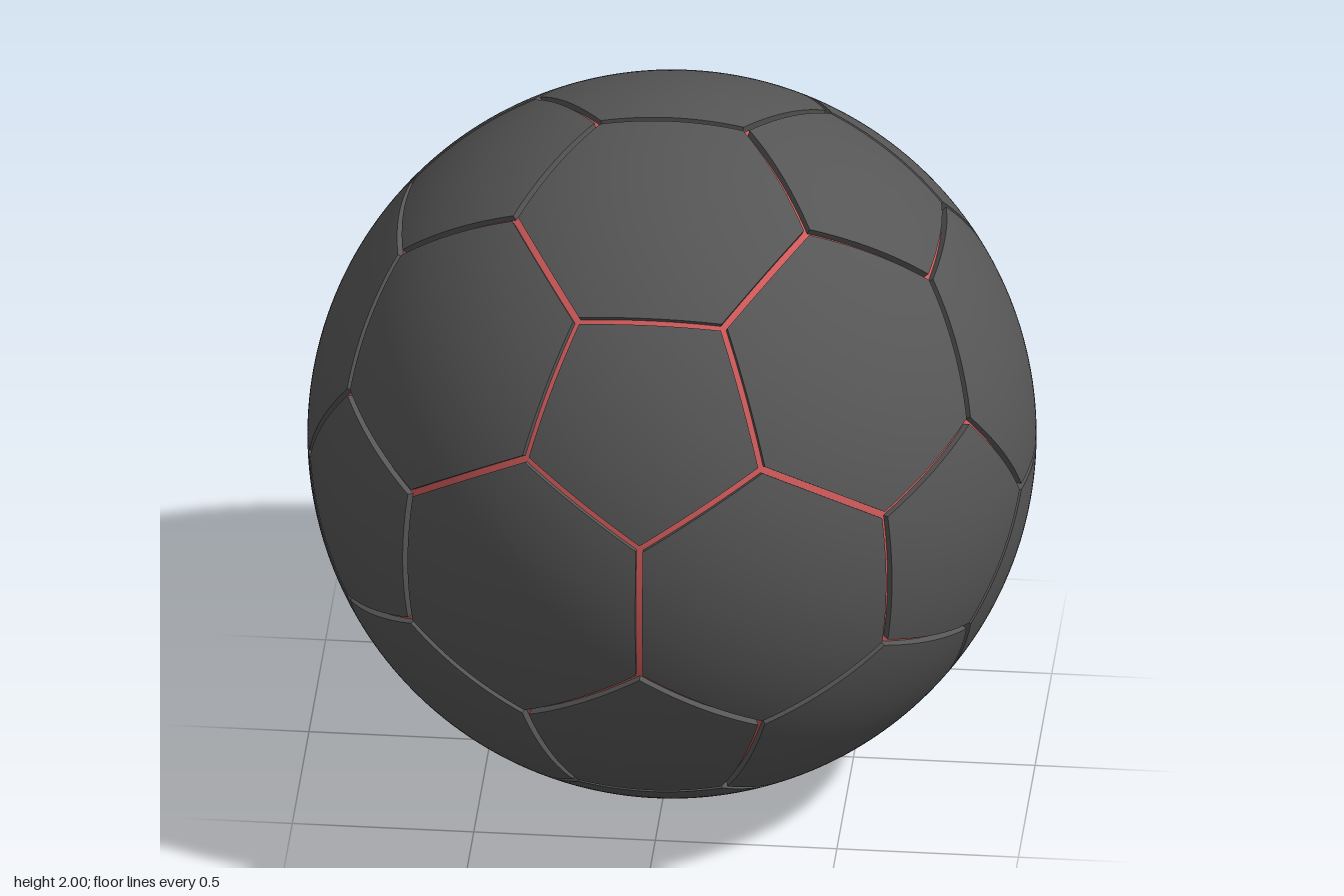
import * as THREE from 'three';

const RADIUS = 1, FLOOR = 0.98, GAP = 0.02, STEPS = 14;

// Corners of an icosahedron, the centres of the pentagon panels
function icosahedronCorners() {
  const phi = (1 + Math.sqrt(5)) / 2, out = [];
  for (const s of [-1, 1]) for (const t of [-1, 1]) {
    out.push(
      new THREE.Vector3(0, s, t * phi),
      new THREE.Vector3(s, t * phi, 0),
      new THREE.Vector3(t * phi, 0, s));
  }
  return out;
}

// Point one third of the way from a to b, scaled to lie on the ball
const third = (a, b) => a.clone().multiplyScalar(2).add(b).normalize();

// Curved panel: domed top plus short side walls down into the seam groove
function panelGeometry(corners) {
  const centre = corners.reduce((s, v) => s.add(v), new THREE.Vector3()).divideScalar(corners.length);
  const axis = centre.clone().normalize();
  const u = corners[0].clone().sub(centre).normalize();
  const w = axis.clone().cross(u);
  const angle = (p) => Math.atan2(p.dot(w), p.dot(u));
  const ring = [...corners].sort((a, b) => angle(a) - angle(b));

  // Inset the outline by half the seam width
  const apothem = ring[0].clone().add(ring[1]).multiplyScalar(0.5).distanceTo(centre);
  const inset = ring.map((v) => v.clone().lerp(centre, GAP / 2 / apothem));

  const positions = [], normals = [];
  const put = (p, n) => { positions.push(p.x, p.y, p.z); normals.push(n.x, n.y, n.z); };
  const top = (...pts) => pts.forEach((p) => put(p.clone().multiplyScalar(RADIUS), p));

  inset.forEach((a, k) => {
    const b = inset[(k + 1) % inset.length];
    const at = (i, j) => centre.clone()
      .addScaledVector(a.clone().sub(centre), (i - j) / STEPS)
      .addScaledVector(b.clone().sub(centre), j / STEPS).normalize();
    for (let i = 0; i < STEPS; i++) {
      for (let j = 0; j <= i; j++) {
        top(at(i, j), at(i + 1, j), at(i + 1, j + 1));
        if (j < i) top(at(i, j), at(i + 1, j + 1), at(i, j + 1));
      }
    }
    // Side wall along this edge
    const side = b.clone().cross(a).normalize();
    for (let j = 0; j < STEPS; j++) {
      const p = at(STEPS, j), q = at(STEPS, j + 1);
      const p2 = p.clone().multiplyScalar(FLOOR - 0.01), q2 = q.clone().multiplyScalar(FLOOR - 0.01);
      for (const v of [p, p2, q2, p, q2, q]) put(v, side);
    }
  });

  const geometry = new THREE.BufferGeometry();
  geometry.setAttribute('position', new THREE.Float32BufferAttribute(positions, 3));
  geometry.setAttribute('normal', new THREE.Float32BufferAttribute(normals, 3));
  return geometry;
}

export function createModel() {
  const charcoal = new THREE.MeshStandardMaterial({ color: 0x565656 });
  charcoal.name = 'charcoal';
  const red = new THREE.MeshStandardMaterial({ color: 0xd05a5a });
  red.name = 'red';

  const ball = new THREE.Group();
  ball.name = 'ball';
  ball.position.y = RADIUS;
  const add = (name, geometry, material) => {
    const mesh = new THREE.Mesh(geometry, material);
    mesh.name = name;
    ball.add(mesh);
  };

  // Inner core, seen only through the seams
  add('seamCore', new THREE.SphereGeometry(FLOOR, 128, 96), red);

  const pts = icosahedronCorners();
  const near = (a, b) => Math.abs(a.distanceTo(b) - 2) < 0.01;

  // Twelve pentagon panels
  for (const a of pts) {
    add('pentagonPanel', panelGeometry(pts.filter((b) => near(a, b)).map((b) => third(a, b))), charcoal);
  }

  // Twenty hexagon panels
  pts.forEach((a, i) => pts.forEach((b, j) => pts.forEach((c, k) => {
    if (i < j && j < k && near(a, b) && near(b, c) && near(a, c)) {
      const outline = [third(a, b), third(b, a), third(b, c), third(c, b), third(c, a), third(a, c)];
      add('hexagonPanel', panelGeometry(outline), charcoal);
    }
  })));

  const model = new THREE.Group();
  model.name = 'panelledBall';
  model.add(ball);
  return model;
}
